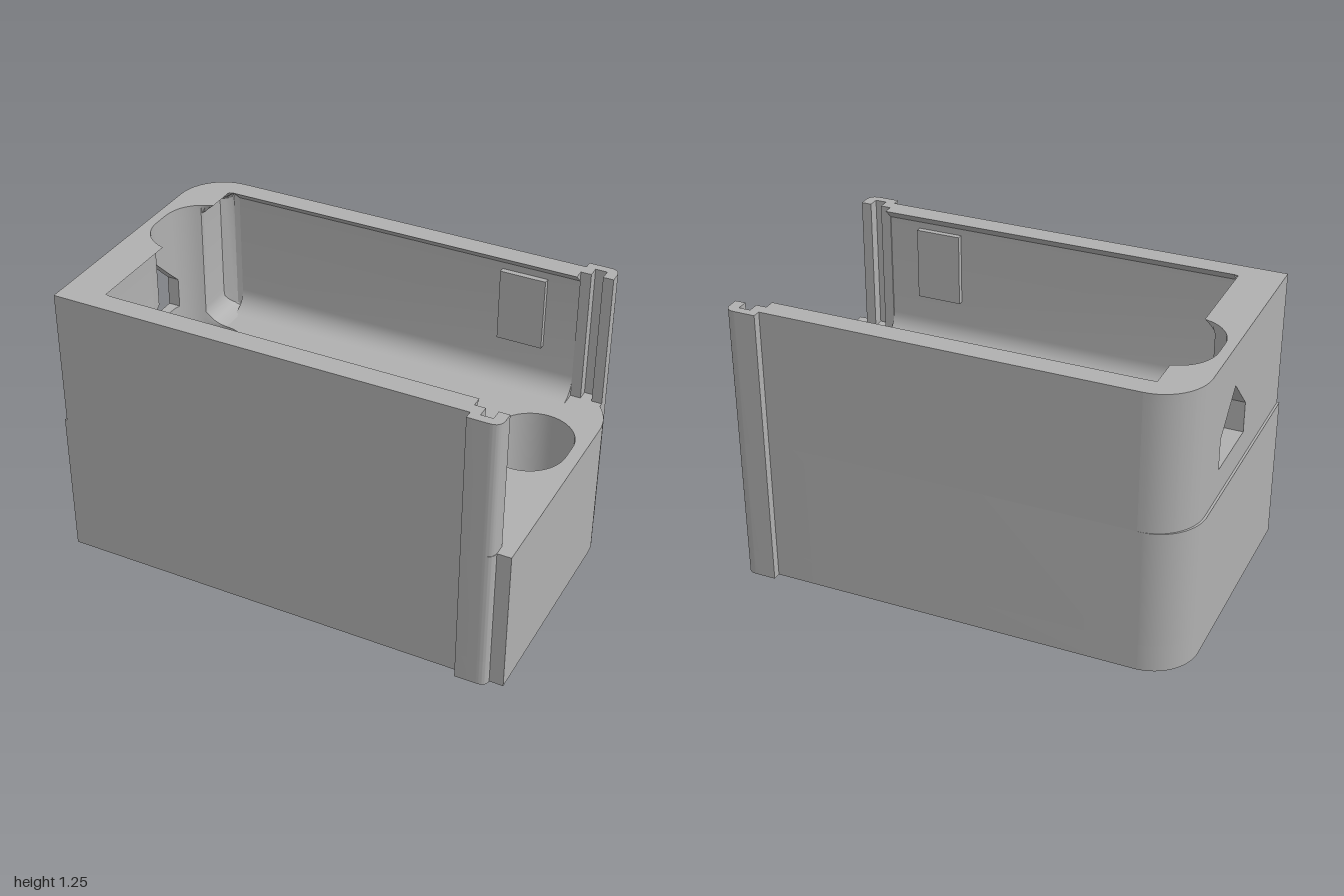
import * as THREE from 'three';
import { toCreasedNormals } from 'three/addons/utils/BufferGeometryUtils.js';

const FLOOR = 0.645, TOP = 1.245, LEDGE = 0.12, SIDE = 0.585;
const SLOT_X = 0.775, SLOT_Z = -0.145;

export function createModel() {
  const group = new THREE.Group();
  const grey = new THREE.MeshStandardMaterial({ color: 0xb0b0b0 });
  grey.name = 'plain grey';

  const add = (name, geo) => {
    const mesh = new THREE.Mesh(toCreasedNormals(geo, 0.5), grey);
    mesh.name = name;
    group.add(mesh);
  };
  // plan shapes use (x, -z) and rise along y
  const rise = (name, shape, y0, y1) => {
    const geo = new THREE.ExtrudeGeometry(shape, { depth: y1 - y0, bevelEnabled: false, curveSegments: 16 });
    add(name, geo.rotateX(-Math.PI / 2).translate(0, y0, 0));
  };

  // elongated hole, long in z
  const slot = (cx, r, half) => {
    const p = new THREE.Path();
    p.moveTo(cx + r, -SLOT_Z - half);
    p.lineTo(cx + r, -SLOT_Z + half);
    p.absarc(cx, -SLOT_Z + half, r, 0, Math.PI, false);
    p.lineTo(cx - r, -SLOT_Z - half);
    p.absarc(cx, -SLOT_Z - half, r, Math.PI, 2 * Math.PI, false);
    return p;
  };

  // solid base outline, including the feet of the two end posts
  const baseShape = (r, half) => {
    const s = new THREE.Shape();
    s.moveTo(-1, -SIDE);
    s.lineTo(0.805, -SIDE);
    s.lineTo(0.805, -0.62);
    s.lineTo(0.895, -0.62);
    s.quadraticCurveTo(0.94, -0.62, 0.94, -SIDE);
    s.lineTo(1, -SIDE);
    s.lineTo(1, 0.35);
    s.absarc(0.75, 0.35, 0.25, 0, Math.acos(0.76), false);
    s.lineTo(0.94, 0.575);
    s.quadraticCurveTo(0.94, 0.62, 0.895, 0.62);
    s.lineTo(0.805, 0.62);
    s.lineTo(0.805, SIDE);
    s.lineTo(-0.8, SIDE);
    s.absarc(-0.8, 0.385, 0.2, Math.PI / 2, Math.PI, false);
    s.lineTo(-1, -SIDE);
    for (const cx of [-SLOT_X, SLOT_X]) s.holes.push(slot(cx, r, half));
    return s;
  };
  rise('basePlate', baseShape(0.09, 0.041), 0, LEDGE);
  rise('baseBlock', baseShape(0.17, 0.037), LEDGE, FLOOR);

  for (const [label, m] of [['front', 1], ['back', -1]]) {
    // side wall with overhanging lip and rounded foot
    const w = new THREE.Shape();
    w.moveTo(-m * SIDE, FLOOR);
    w.lineTo(-m * SIDE, TOP);
    w.lineTo(-m * 0.49, TOP);
    w.lineTo(-m * 0.54, 1.2);
    for (let i = 0; i <= 8; i++) {
      const a = (i / 8) * Math.PI / 2;
      w.lineTo(-m * (0.45 + 0.09 * Math.cos(a)), FLOOR + 0.09 * (1 - Math.sin(a)));
    }
    const wall = new THREE.ExtrudeGeometry(w, { depth: 1.59, bevelEnabled: false });
    add(label + 'Wall', wall.rotateY(Math.PI / 2).translate(-0.79, 0, 0));

    // end post with a vertical groove
    const p = new THREE.Shape();
    const corners = [[0.8, SIDE], [0.8, 0.535], [0.845, 0.535], [0.845, 0.583], [0.895, 0.583],
      [0.895, 0.535], [0.94, 0.535], [0.94, 0.575]];
    corners.forEach(([x, z], i) => (i ? p.lineTo(x, -m * z) : p.moveTo(x, -m * z)));
    p.quadraticCurveTo(0.94, -m * 0.62, 0.895, -m * 0.62);
    p.lineTo(0.805, -m * 0.62);
    p.lineTo(0.805, -m * SIDE);
    rise(label + 'Post', p, FLOOR, TOP);

    // raised catch pad inside the wall
    add(label + 'Pad', new THREE.BoxGeometry(0.2, 0.32, 0.03).translate(0.56, 1.01, m * 0.53));
  }

  add('endWall', endWallGeometry());
  return group;
}

// End wall built in columns along z, with the bore hollow and the gabled window
function endWallGeometry() {
  const W0 = -0.235, W1 = 0.08, SILL = 0.77, EAVE = 0.905;
  const roof = z => 1.06 - Math.abs(z - (W0 + W1) / 2) * (1.06 - EAVE) / ((W1 - W0) / 2);

  const outer = z => (z > -0.385 ? -0.99 : -0.79 - Math.sqrt(Math.max(0, 0.04 - (z + 0.385) ** 2)));
  const inner = (y, z) => {
    const a = Math.abs(z);
    const lip = Math.max(0, (y - 1.2) / 0.045) * 0.05;
    if (a >= 0.54 - lip - 1e-6) return -0.79;
    const t = Math.max(0, 1 - (y - FLOOR) / 0.09);
    const foot = 0.09 * (1 - Math.sqrt(1 - t * t));
    const plane = -0.86 + Math.max(lip, foot, a - 0.49);
    const d = Math.max(0, Math.abs(z - SLOT_Z) - 0.037);
    return d <= 0.17 ? Math.min(plane, -SLOT_X - Math.sqrt(0.17 ** 2 - d * d)) : plane;
  };

  // column positions, denser on the curves
  const list = [-SIDE, SIDE, W0, W1, (W0 + W1) / 2, -0.54, -0.535, -0.49, -0.485, 0.485, 0.49, 0.535, 0.54];
  for (let i = 0; i <= 12; i++) {
    const s = Math.sin((i / 12) * Math.PI / 2);
    list.push(-0.385 - 0.2 * s, SLOT_Z + 0.037 + 0.17 * s, SLOT_Z - 0.037 - 0.17 * s);
  }
  const zs = list.sort((a, b) => a - b).filter((z, i, arr) => i === 0 || z - arr[i - 1] > 1e-5);

  const pos = [];
  const quad = (a, b, c, d) => pos.push(...a, ...b, ...c, ...a, ...c, ...d);
  const I = (y, z) => [inner(y, z), y, z];
  const O = (y, z) => [outer(z), y, z];
  const low = [FLOOR, 0.652, 0.665, 0.685, 0.71, 0.735];

  for (let i = 0; i < zs.length - 1; i++) {
    const z0 = zs[i], z1 = zs[i + 1], mid = (z0 + z1) / 2;
    const both = y => [y, y];
    const open = mid > W0 && mid < W1;
    const runs = open
      ? [[...low, SILL].map(both), [[roof(z0), roof(z1)], both(1.2), both(TOP)]]
      : [[...low, 1.2, TOP].map(both)];
    for (const rows of runs) {
      for (let k = 0; k < rows.length - 1; k++) {
        const [a0, a1] = rows[k], [b0, b1] = rows[k + 1];
        quad(I(a0, z0), I(b0, z0), I(b1, z1), I(a1, z1));
        quad(O(a0, z0), O(a1, z1), O(b1, z1), O(b0, z0));
      }
      const [t0, t1] = rows[rows.length - 1], [u0, u1] = rows[0];
      quad(O(t0, z0), O(t1, z1), I(t1, z1), I(t0, z0));
      quad(O(u0, z0), I(u0, z0), I(u1, z1), O(u1, z1));
    }
  }
  // window jambs and the front end face
  quad(O(SILL, W0), I(SILL, W0), I(EAVE, W0), O(EAVE, W0));
  quad(O(SILL, W1), O(EAVE, W1), I(EAVE, W1), I(SILL, W1));
  quad(O(FLOOR, SIDE), I(FLOOR, SIDE), I(TOP, SIDE), O(TOP, SIDE));

  const geo = new THREE.BufferGeometry();
  geo.setAttribute('position', new THREE.Float32BufferAttribute(pos, 3));
  return geo;
}
